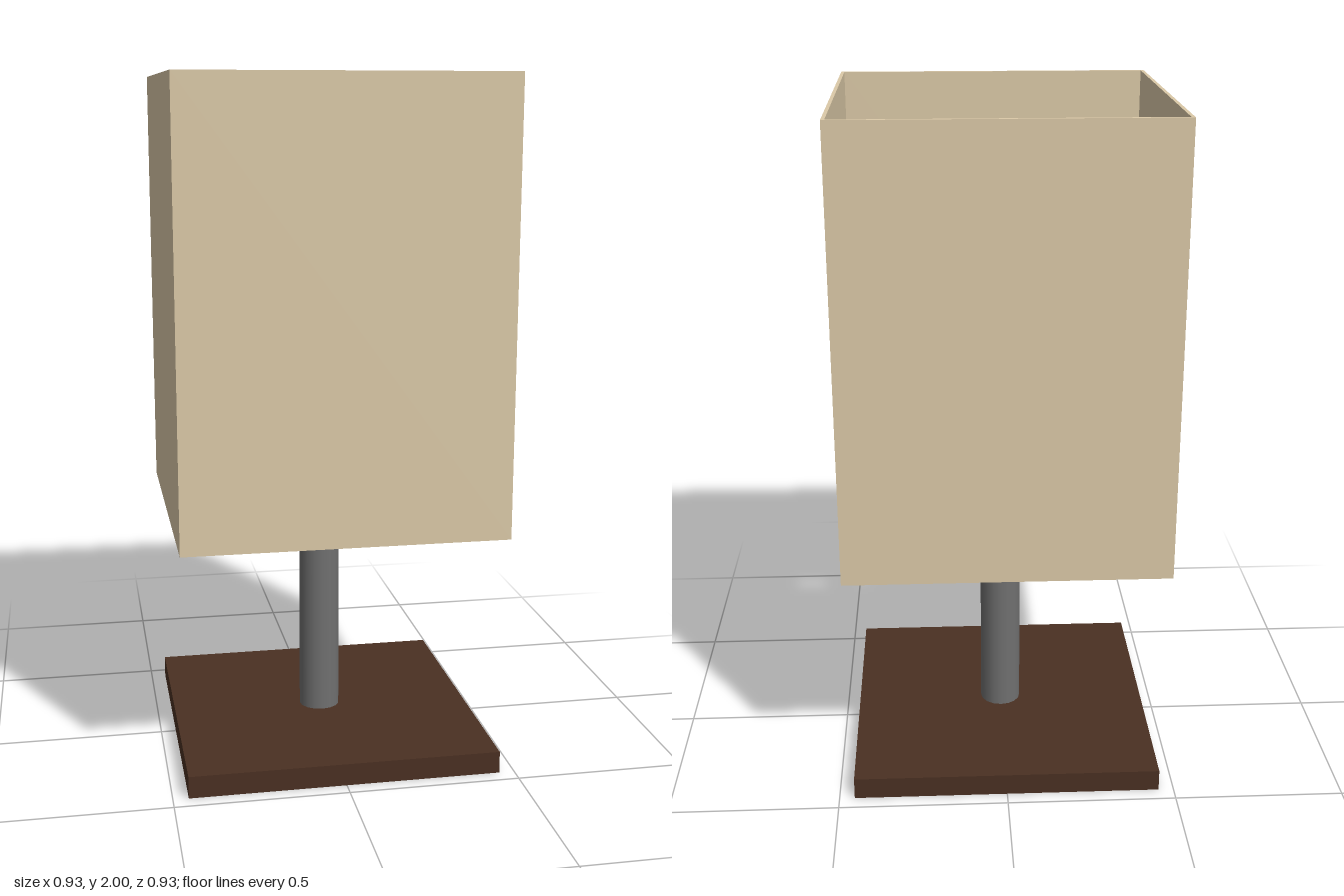
import * as THREE from 'three';

const paint = (color, side = THREE.FrontSide) => new THREE.MeshStandardMaterial({ color, side });

function addMesh(group, name, geometry, material, y = 0) {
  const mesh = new THREE.Mesh(geometry, material);
  mesh.name = name;
  mesh.position.y = y;
  group.add(mesh);
  return mesh;
}

function square(PathType, half) {
  return new PathType([[-1, -1], [1, -1], [1, 1], [-1, 1]].map(([x, y]) => new THREE.Vector2(x * half, y * half)));
}

// Bar along +x from r0 to r1, tapering in width and height
function taperedBar(r0, r1, width0, width1, height0, height1) {
  const bar = new THREE.BoxGeometry(1, 1, 1);
  const p = bar.attributes.position;
  for (let i = 0; i < p.count; i++) {
    const t = p.getX(i) + 0.5;
    p.setXYZ(i,
      THREE.MathUtils.lerp(r0, r1, t),
      p.getY(i) * THREE.MathUtils.lerp(height0, height1, t),
      p.getZ(i) * THREE.MathUtils.lerp(width0, width1, t));
  }
  bar.computeVertexNormals();
  return bar;
}

export function createModel() {
  const lamp = new THREE.Group();
  lamp.name = 'tableLamp';
  const wood = paint(0x4a3022);
  const metal = paint(0x707070);
  const fabric = paint(0xdccaa8, THREE.DoubleSide);
  const glass = paint(0xf2dba6);

  // Square wooden foot
  addMesh(lamp, 'base', new THREE.BoxGeometry(0.91, 0.065, 0.91), wood, 0.0325);

  // Pole and the socket above it
  addMesh(lamp, 'pole', new THREE.CylinderGeometry(0.062, 0.062, 0.58, 16), metal, 0.35);
  addMesh(lamp, 'socket', new THREE.CylinderGeometry(0.06, 0.06, 0.2, 16), metal, 0.79);

  // Flared collar with a bevelled top
  addMesh(lamp, 'collarFlare', new THREE.CylinderGeometry(0.125, 0.093, 0.08, 16), metal, 0.665);
  addMesh(lamp, 'collarTop', new THREE.CylinderGeometry(0.09, 0.125, 0.06, 16), metal, 0.735);

  // Four arms reaching into the corners of the shade
  const arm = taperedBar(0.03, 0.64, 0.072, 0.021, 0.05, 0.028);
  for (let i = 0; i < 4; i++) {
    addMesh(lamp, 'shadeArm', arm, metal, 0.775).rotation.y = Math.PI / 4 + i * Math.PI / 2;
  }

  // Bulb: narrow neck swelling into a round top
  const profile = [[0, 0.87], [0.058, 0.88], [0.072, 0.93], [0.105, 1.01]];
  for (let i = 0; i <= 7; i++) {
    const a = THREE.MathUtils.degToRad(-20 + i * 110 / 7);
    profile.push([Math.max(0, 0.157 * Math.cos(a)), 1.11 + 0.157 * Math.sin(a)]);
  }
  addMesh(lamp, 'bulb', new THREE.LatheGeometry(profile.map(([r, y]) => new THREE.Vector2(r, y)), 16), glass);

  // Open square shade
  const outline = square(THREE.Shape, 0.467);
  outline.holes.push(square(THREE.Path, 0.457));
  const shade = new THREE.ExtrudeGeometry(outline, { depth: 1.285, bevelEnabled: false });
  shade.rotateX(-Math.PI / 2);
  addMesh(lamp, 'shade', shade, fabric, 0.715);

  return lamp;
}
